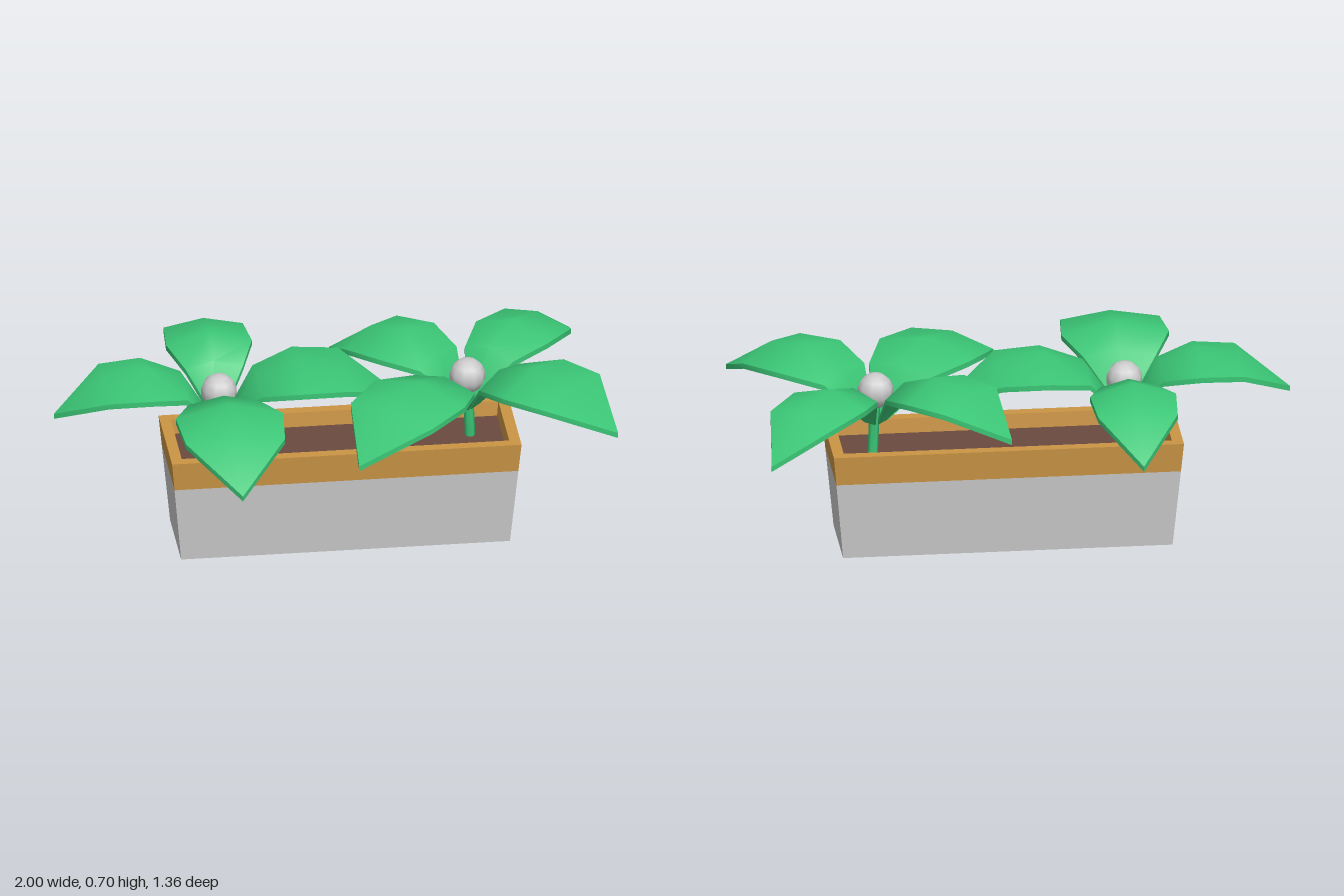
import * as THREE from 'three';
import { toCreasedNormals } from 'three/addons/utils/BufferGeometryUtils.js';

const material = (name, color) => {
  const m = new THREE.MeshStandardMaterial({ color });
  m.name = name;
  return m;
};

// Skin a series of equal-length rings; each ring runs anticlockwise about the direction of travel.
function loft(rings, crease) {
  const pos = [];
  for (let i = 0; i < rings.length - 1; i++) {
    const a = rings[i], b = rings[i + 1], n = a.length;
    for (let j = 0; j < n; j++) {
      const k = (j + 1) % n;
      pos.push(...a[j], ...a[k], ...b[k], ...a[j], ...b[k], ...b[j]);
    }
  }
  const g = new THREE.BufferGeometry();
  g.setAttribute('position', new THREE.Float32BufferAttribute(pos, 3));
  g.computeVertexNormals();
  return toCreasedNormals(g, crease);
}

const BOX_TOP = 0.405, BAND = 0.295, SOIL = 0.35;
const CX = 0.04, CZ = -0.023;

// Rectangle of the tapered planter at height y, inset by d
function rect(y, d = 0) {
  const t = y / BOX_TOP;
  const x = 0.5975 + 0.0375 * t - d, z = 0.16 + 0.0375 * t - d;
  return [[CX + x, y, CZ + z], [CX + x, y, CZ - z], [CX - x, y, CZ - z], [CX - x, y, CZ + z]];
}
const point = (y) => Array(4).fill([CX, y, CZ]);

// Leaf stations: distance along, rib height, half width, edge drop
const STATIONS = [
  [0.05, 0.49, 0.03, 0.0],
  [0.21, 0.645, 0.13, 0.03],
  [0.44, 0.693, 0.195, 0.05],
  [0.695, 0.66, 0.18, 0.03],
  [1.0, 0.515, 0.0, 0.0],
];

function leafGeometry(length, width, lift) {
  const th = 0.02;
  const rings = STATIONS.map(([s, h, w, drop]) => {
    const z = s * length, y = h + lift * s, x = w * width, e = y - drop;
    return [[x, e, z], [0, y, z], [-x, e, z], [-x, e - th, z], [0, y - th, z], [x, e - th, z]];
  });
  // close both ends
  const middle = (r) => r.map(() => [0, (r[1][1] + r[4][1]) / 2, r[1][2]]);
  rings.unshift(middle(rings[0]));
  rings.push(middle(rings[rings.length - 1]));
  return loft(rings, 0.8);
}

// angle about y, length, width factor, lift
const LEAVES = [
  [0, 0.7, 1, 0],
  [Math.PI / 2, 0.655, 0.99, 0.025],
  [Math.PI, 0.655, 0.8, -0.005],
  [-Math.PI / 2, 0.6, 0.91, 0.02],
];

export function createModel() {
  const model = new THREE.Group();
  model.name = 'planter';
  const grey = material('pale grey', 0xcbcbcb);
  const wood = material('ochre', 0xcb9545);
  const earth = material('soil brown', 0x6b4a40);
  const green = material('leaf green', 0x3bc676);

  const add = (parent, name, geometry, mat) => {
    const mesh = new THREE.Mesh(geometry, mat);
    mesh.name = name;
    parent.add(mesh);
    return mesh;
  };

  // Planter box
  add(model, 'trough', loft([point(0), rect(0), rect(BAND)], 0.3), grey);
  add(model, 'rim', loft([rect(BAND), rect(BOX_TOP), rect(BOX_TOP, 0.04), rect(SOIL - 0.01, 0.04)], 0.3), wood);
  add(model, 'soil', loft([rect(SOIL, 0.035), point(SOIL)], 0.3), earth);

  // Two plants, each with a stem, four arching leaves and a round bud
  function plant(name, x, z, turn, lean) {
    const group = new THREE.Group();
    group.name = name;
    group.position.set(x, 0, z);
    const path = new THREE.CatmullRomCurve3([
      new THREE.Vector3(lean, SOIL - 0.02, 0),
      new THREE.Vector3(lean * 0.6, 0.43, 0.004),
      new THREE.Vector3(0, 0.55, 0),
    ]);
    add(group, 'stem', new THREE.TubeGeometry(path, 4, 0.019, 6), green);
    const crown = new THREE.Group();
    crown.name = 'leaves';
    crown.rotation.y = turn;
    for (const [angle, length, width, lift] of LEAVES) {
      add(crown, 'leaf', leafGeometry(length, width, lift), green).rotation.y = angle;
    }
    group.add(crown);
    add(group, 'bud', new THREE.SphereGeometry(0.066, 10, 7), grey).position.y = 0.59;
    model.add(group);
  }
  plant('rightPlant', -0.4, -0.025, 0, 0.02);
  plant('leftPlant', 0.505, -0.04, THREE.MathUtils.degToRad(-41), 0.01);

  return model;
}
